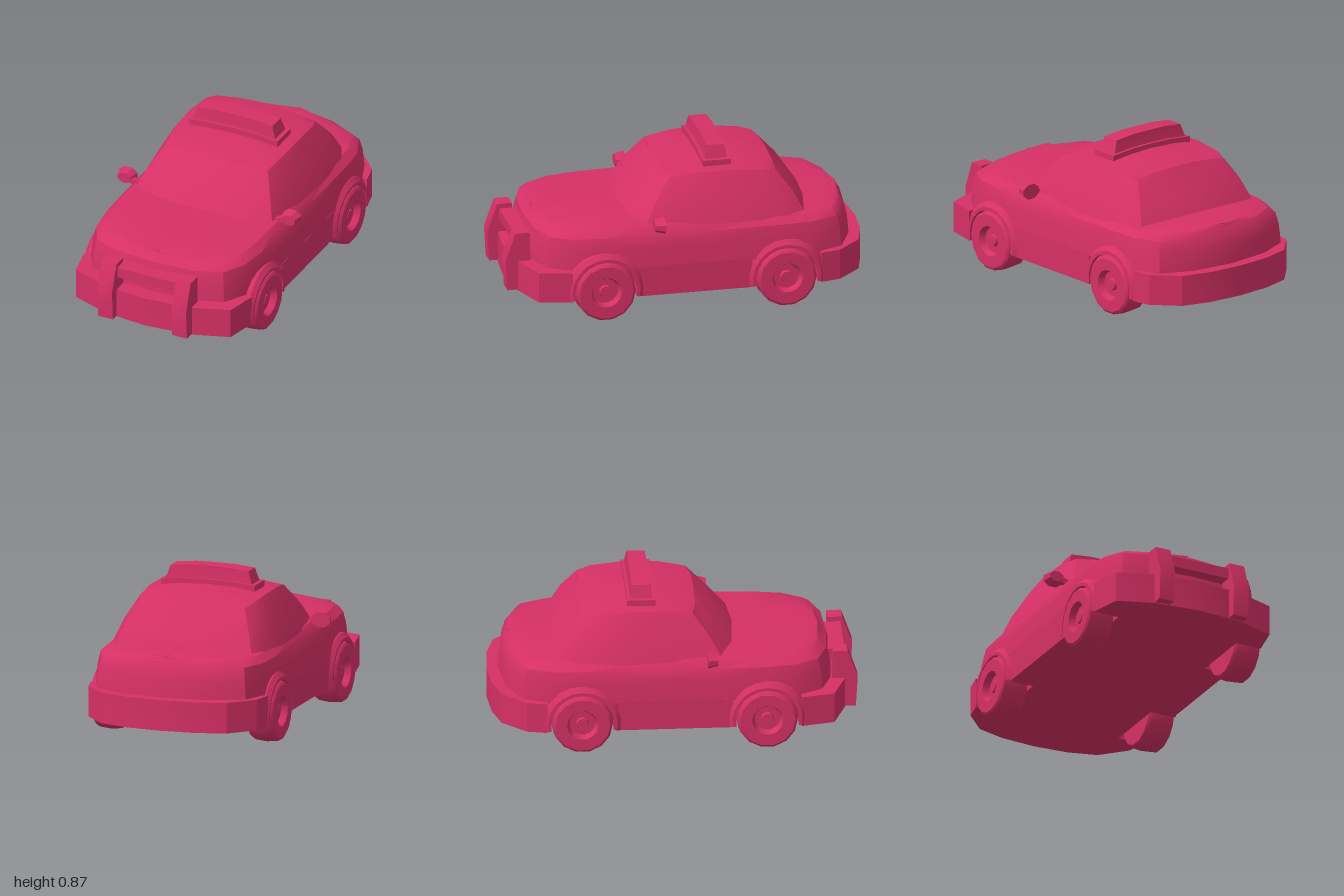
import * as THREE from 'three';
import { toCreasedNormals } from 'three/addons/utils/BufferGeometryUtils.js';

const paint = new THREE.MeshStandardMaterial({ color: 0xd63066, side: THREE.DoubleSide });

function part(name, geometry, crease = 0.5) {
  const mesh = new THREE.Mesh(toCreasedNormals(geometry, crease), paint);
  mesh.name = name;
  return mesh;
}

// Mirrors half rings (front centre to rear centre on +x) and skins them upwards
function loft(halfRings) {
  const rings = halfRings.map(h => [...h, ...h.slice(1, -1).reverse().map(([x, y, z]) => [-x, y, z])]);
  const n = rings[0].length, index = [];
  for (let r = 0; r < rings.length - 1; r++) {
    for (let i = 0; i < n; i++) {
      const a = r * n + i, b = r * n + (i + 1) % n;
      index.push(a, b, b + n, a, b + n, a + n);
    }
  }
  const geo = new THREE.BufferGeometry();
  geo.setAttribute('position', new THREE.Float32BufferAttribute(rings.flat(2), 3));
  geo.setIndex(index);
  return geo;
}

// Closed shape symmetric about x = 0 from its +x half
function mirroredShape(half) {
  const all = [...half, ...half.slice().reverse().map(([x, y]) => [-x, y])];
  return new THREE.Shape(all.map(([x, y]) => new THREE.Vector2(x, y)));
}

// Main body with hood and rear deck
function makeBody() {
  const plan = [[0, .87], [.25, .855], [.40, .80], [.47, .68], [.495, .5], [.5, .25], [.5, -.1],
    [.5, -.5], [.49, -.68], [.43, -.83], [.25, -.91], [0, -.94]];
  const top = z => .495 + .015 * (1 - z * z / .75);
  const level = (y, sx, front, rear, rise = 0) => plan.map(([x, z]) => {
    const pz = z * (z > 0 ? front : rear);
    return [x * sx, y ?? top(pz) + rise, pz];
  });
  return part('body', loft([
    level(.285, 0, 1, 1), level(.285, 1, 1, 1), level(.40, .98, .99, .99), level(.465, .955, .97, .97),
    level(null, .87, .925, .95), level(null, .5, .92, .945, .014), level(null, 0, .92, .945, .02),
  ]), 0.6);
}

// Windows and roof
function makeCabin() {
  const base = [[0, .52, .34], [.25, .515, .32], [.42, .49, .26], [.45, .49, 0], [.455, .49, -.3],
    [.44, .49, -.55], [.39, .505, -.63], [.2, .52, -.665], [0, .525, -.675]];
  const edge = [[0, .74, .125], [.18, .737, .12], [.31, .725, .10], [.33, .748, -.05], [.335, .75, -.25],
    [.325, .735, -.42], [.30, .72, -.49], [.18, .735, -.497], [0, .744, -.5]];
  const crown = z => .782 - .42 * (z + .2) ** 2;
  const middle = base.map(([x, y, z], i) => {
    const [ex, ey, ez] = edge[i];
    return [(x + ex) / 2 * 1.025, (y + ey) / 2, (z + ez) / 2 + (z > .2 ? .012 : z < -.5 ? -.015 : 0)];
  });
  const inner = edge.map(([x, y, z]) => [x * .5, y + (crown(z) - y) * .75, z]);
  const ridge = edge.map(([, , z]) => [0, crown(z), z]);
  return part('cabin', loft([base, middle, edge, inner, ridge]), 0.45);
}

// Bumpers, sills and floor in one slab, with notches for the wheels
function makeLowerBody() {
  const half = [[0, .96], [.26, .935], [.47, .86], [.51, .68], [.36, .68], [.36, .31], [.5, .31], [.5, -.32],
    [.36, -.32], [.36, -.7], [.51, -.7], [.485, -.81], [.36, -.94], [.2, -.985], [0, -1]];
  const geo = new THREE.ExtrudeGeometry(mirroredShape(half.map(([x, z]) => [x, -z])),
    { depth: .17, bevelEnabled: false });
  geo.rotateX(-Math.PI / 2).translate(0, .125, 0);
  return part('bumpersAndFloor', geo);
}

// Wheel with recessed rim and flared arch, built for the +x side
function makeWheel(side, z) {
  const wheel = new THREE.Group();
  wheel.name = 'wheel';
  const spin = (name, profile, segments, start, length) => {
    const geo = new THREE.LatheGeometry(profile.map(p => new THREE.Vector2(...p)), segments, start, length);
    wheel.add(part(name, geo.rotateZ(-Math.PI / 2), 0.6));
  };
  spin('tire', [[0, .37], [.15, .37], [.163, .385], [.17, .45], [.163, .515], [.15, .525], [.085, .525],
    [.075, .505], [.07, .49], [.035, .49], [.03, .505], [0, .505]], 14, 0, Math.PI * 2);
  spin('wheelArch', [[.225, .42], [.215, .495], [.19, .517], [.172, .517], [.172, .42]],
    12, Math.PI - .2, Math.PI + .4);
  wheel.position.set(0, .17, z);
  wheel.rotation.y = side > 0 ? 0 : Math.PI;
  return wheel;
}

// Push bar upright at the front
function makePushBar(side) {
  const profile = [[.86, .13], [.99, .13], [1, .3], [.945, .455], [.865, .455]];
  const shape = new THREE.Shape(profile.map(([z, y]) => new THREE.Vector2(-z, y)));
  const geo = new THREE.ExtrudeGeometry(shape, { depth: .09, bevelEnabled: false });
  geo.rotateY(Math.PI / 2).translate(side * .225 - .045, 0, 0);
  return part('pushBarUpright', geo);
}

// Door mirror: shell narrowing towards the front, on a short arm
function makeMirror(side) {
  const mirror = new THREE.Group();
  mirror.name = 'doorMirror';
  const shell = new THREE.CylinderGeometry(.042, .03, .055, 8);
  shell.rotateY(Math.PI / 8).rotateX(-Math.PI / 2).scale(1.4, 1.05, 1);
  const shellMesh = part('mirrorShell', shell);
  shellMesh.position.set(side * .498, .528, .198);
  const arm = part('mirrorArm', new THREE.BoxGeometry(.07, .03, .03));
  arm.position.set(side * .435, .51, .205);
  arm.rotation.z = side * .3;
  mirror.add(shellMesh, arm);
  return mirror;
}

// Roof light: gently arched slab, narrowing in z towards its top
function makeRoofSlab(name, half, depth, taper) {
  const geo = new THREE.ExtrudeGeometry(mirroredShape(half), { depth, bevelEnabled: false });
  geo.translate(0, 0, -depth / 2);
  const p = geo.attributes.position;
  for (let i = 0; i < p.count; i++) if (p.getY(i) > .82) p.setZ(i, p.getZ(i) * taper);
  const mesh = part(name, geo, 0.4);
  mesh.position.z = -.175;
  return mesh;
}

export function createModel() {
  const car = new THREE.Group();
  car.name = 'car';
  car.add(makeBody(), makeCabin(), makeLowerBody());

  for (const side of [-1, 1]) {
    for (const z of [.495, -.51]) car.add(makeWheel(side, z));
    car.add(makePushBar(side), makeMirror(side));
  }

  const crossBar = part('pushBarCross', new THREE.BoxGeometry(.36, .06, .1));
  crossBar.position.set(0, .398, .885);
  car.add(crossBar);

  car.add(makeRoofSlab('roofLightBase',
    [[0, .75], [.27, .75], [.27, .79], [.14, .802], [0, .806]], .155, 1));
  car.add(makeRoofSlab('roofLight',
    [[0, .79], [.25, .785], [.225, .862], [.11, .873], [0, .874]], .125, .8));
  return car;
}
